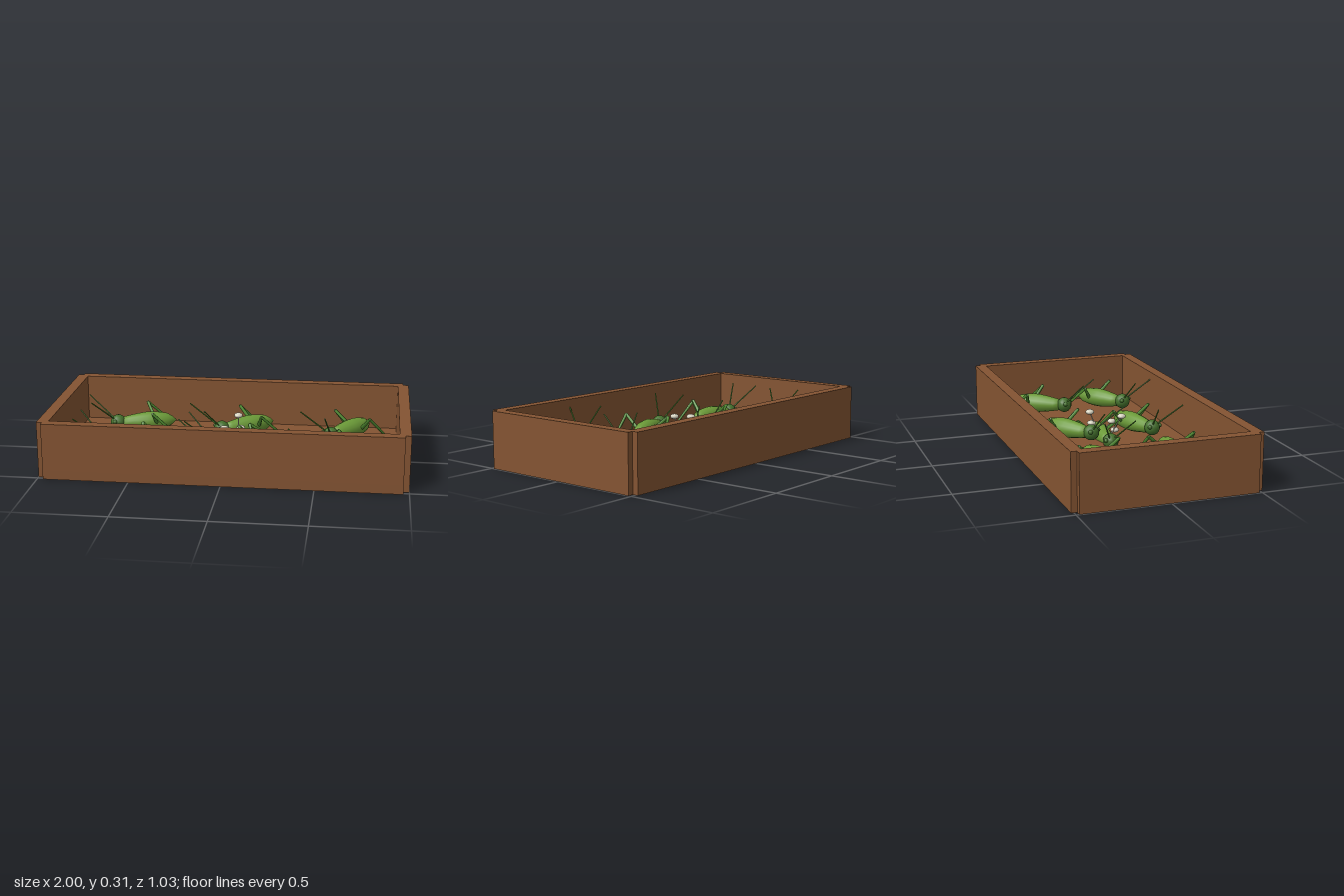
import * as THREE from 'three';

const FLOOR = 0.05;
const HEIGHT = 0.3125;

function material(name, color) {
  const m = new THREE.MeshStandardMaterial({ color });
  m.name = name;
  return m;
}

function add(parent, name, geometry, mat) {
  const mesh = new THREE.Mesh(geometry, mat);
  mesh.name = name;
  parent.add(mesh);
  return mesh;
}

// Tapered rod between two points
function rod(parent, name, from, to, r0, r1, mat) {
  const a = new THREE.Vector3(...from), b = new THREE.Vector3(...to);
  const dir = b.clone().sub(a);
  const mesh = add(parent, name, new THREE.CylinderGeometry(r1, r0, dir.length(), 6), mat);
  mesh.position.copy(a).add(b).multiplyScalar(0.5);
  mesh.quaternion.setFromUnitVectors(new THREE.Vector3(0, 1, 0), dir.normalize());
  return mesh;
}

// Tray outline with small notched corners
function trayOutline() {
  const X = 1, Z = 0.515, n = 0.032;
  const corner = [[X, Z - n], [X - n, Z - n], [X - n, Z]];
  const flip = (sx, sz) => corner.map(([x, z]) => new THREE.Vector2(x * sx, z * sz));
  return new THREE.Shape([
    ...flip(1, 1), ...flip(-1, 1).reverse(), ...flip(-1, -1), ...flip(1, -1).reverse()
  ]);
}

function slab(shape, y, height) {
  return new THREE.ExtrudeGeometry(shape, { depth: height, bevelEnabled: false })
    .rotateX(-Math.PI / 2).translate(0, y, 0);
}

// Insect built with its head at the origin and its tail along +x
function makeInsect([hx, hz], [tx, tz], drop, mats) {
  const g = new THREE.Group();
  g.name = 'insect';
  const h = 0.124 - drop;
  const ground = FLOOR + 0.003;

  // Abdomen and thorax
  const profile = [[0, 0.015], [0.032, 0.025], [0.039, 0.06], [0.048, 0.11], [0.055, 0.165],
    [0.055, 0.205], [0.05, 0.25], [0.042, 0.29], [0.024, 0.32], [0, 0.345]]
    .map(([r, t]) => new THREE.Vector2(r, t));
  const body = add(g, 'body', new THREE.LatheGeometry(profile, 14).rotateZ(-Math.PI / 2), mats.body);
  body.position.y = h - 0.004;

  const head = add(g, 'head', new THREE.SphereGeometry(0.045, 12, 9), mats.head);
  head.position.y = h;

  for (const s of [-1, 1]) {
    const eye = add(g, 'eye', new THREE.SphereGeometry(0.013, 8, 6), mats.head);
    eye.position.set(-0.022, h + 0.012, s * 0.035);
    rod(g, 'antenna', [-0.025, h + 0.025, s * 0.015], [-0.158, h + 0.15, s * 0.09], 0.0045, 0.0035, mats.leg);

    // Folded hind leg
    const knee = [0.19, h + 0.076, s * 0.13];
    rod(g, 'hindThigh', [0.225, h - 0.01, s * 0.035], knee, 0.011, 0.009, mats.leg);
    rod(g, 'hindShin', knee, [0.345, ground, s * 0.155], 0.009, 0.007, mats.leg);
  }

  g.position.set(hx, 0, hz);
  g.rotation.y = Math.atan2(-(tz - hz), tx - hx);
  return g;
}

export function createModel() {
  const model = new THREE.Group();
  model.name = 'insectTray';
  const mats = {
    wood: material('brown wood', 0x845432),
    body: material('leaf green', 0x6b9a38),
    leg: material('leg green', 0x4f8a30),
    head: material('dark green', 0x44702c),
    pale: material('pale fungus', 0xd6d2bf)
  };

  // Tray
  add(model, 'trayFloor', slab(trayOutline(), 0, FLOOR), mats.wood);
  const rim = trayOutline();
  rim.holes.push(new THREE.Path([[-0.938, -0.453], [-0.938, 0.453], [0.938, 0.453], [0.938, -0.453]]
    .map(([x, z]) => new THREE.Vector2(x, z))));
  add(model, 'trayWalls', slab(rim, FLOOR, HEIGHT - FLOOR), mats.wood);

  // Insects as [head, tail, drop], the middle one lying on the floor
  const insects = [
    [[-0.69, -0.155], [-0.36, -0.255], 0],
    [[-0.07, -0.105], [0.21, -0.3], 0],
    [[0.56, -0.065], [0.775, -0.335], 0],
    [[-0.69, 0.2], [-0.35, 0.205], 0],
    [[-0.09, 0.255], [0.235, 0.145], 0],
    [[0.525, 0.3], [0.805, 0.105], 0],
    [[-0.1, 0], [0.235, 0], 0.053]
  ];
  for (const [head, tail, drop] of insects) model.add(makeInsect(head, tail, drop, mats));

  // Fungus sprouting from the middle insect
  const caps = [[0.03, 0.215, -0.08], [0.045, 0.145, -0.065], [0, 0.105, 0.06],
    [-0.03, 0.19, 0.09], [0.11, 0.125, 0.08]];
  for (const [x, y, z] of caps) {
    rod(model, 'fungusStalk', [x * 0.8 + 0.01, 0.075, z * 0.3], [x, y, z], 0.004, 0.003, mats.pale);
    const cap = add(model, 'fungusCap', new THREE.SphereGeometry(0.025, 10, 8), mats.pale);
    cap.scale.y = 0.6;
    cap.position.set(x, y, z);
  }
  return model;
}
